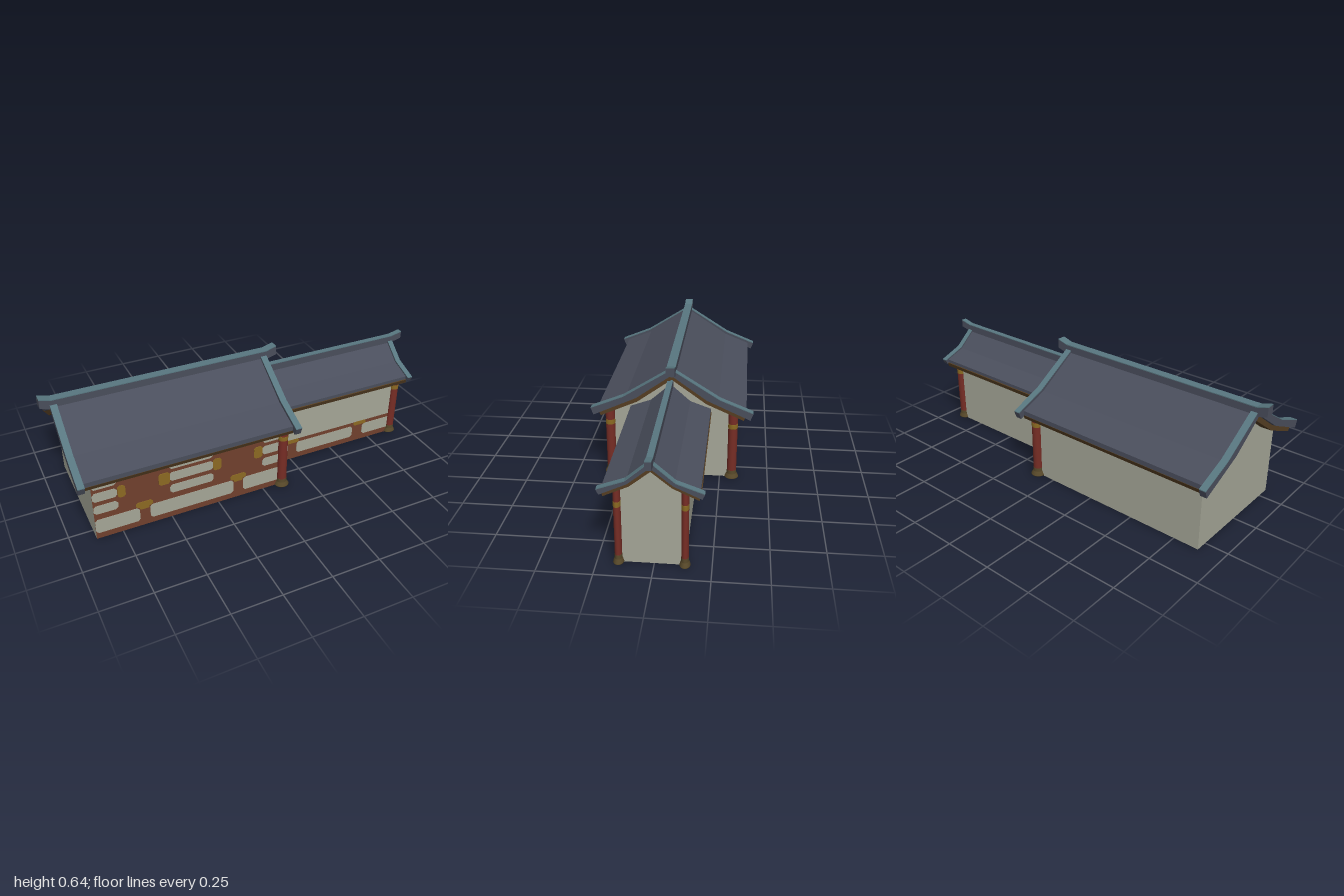
import * as THREE from 'three';

const mat = (name, color) => new THREE.MeshStandardMaterial({ name, color, side: THREE.DoubleSide });

export function createModel() {
  const M = {
    tile: mat('slate tile', 0x4a4e5c),
    trim: mat('ridge teal', 0x587780),
    timber: mat('eave timber', 0x553e22),
    plaster: mat('grey plaster', 0xa5a697),
    panel: mat('red brown timber', 0x71402d),
    gold: mat('gold ornament', 0x8c6a22),
    column: mat('column red', 0x772d25),
    base: mat('column foot bronze', 0x574829),
  };
  const model = new THREE.Group();
  model.name = 'courtyardHall';

  const add = (parent, name, geo, material) => {
    const mesh = new THREE.Mesh(geo, material);
    mesh.name = name;
    parent.add(mesh);
    return mesh;
  };
  const shapeOf = pts => new THREE.Shape(pts.map(p => new THREE.Vector2(...p)));
  // Extrude a [z, y] outline along x
  const alongX = (pts, x0, x1) =>
    new THREE.ExtrudeGeometry(shapeOf(pts.map(([z, y]) => [-z, y])), { depth: x1 - x0, bevelEnabled: false })
      .rotateY(Math.PI / 2).translate(x0, 0, 0);
  // Extrude an [x, y] outline along z, centred on z
  const alongZ = (pts, z, depth) =>
    new THREE.ExtrudeGeometry(shapeOf(pts), { depth, bevelEnabled: false }).translate(0, 0, z - depth / 2);
  // Both slopes of a roof layer, from half lines that run ridge to eave
  const gable = (upper, lower) => {
    const flip = line => line.map(([z, y]) => [-z, y]);
    return [...flip(upper).reverse(), ...upper.slice(1),
      ...[...lower].reverse(), ...flip(lower).slice(1)];
  };
  const raise = (line, d) => line.map(([a, y]) => [a, y + d]);

  // Roof: tile slab, timber under the overhangs, rakes and ridge
  function buildRoof(o) {
    const g = new THREE.Group();
    g.name = o.name;
    g.position.z = o.z;
    add(g, 'roofTiles', alongX(gable(o.tileTop, o.tileBottom), ...o.tileX), M.tile);
    for (const [a, b] of o.timberEnds) {
      add(g, 'gableTimber', alongX(gable(o.timberTop, o.timberBottom), a, b), M.timber);
    }
    const [t, b] = [o.timberTop[2], o.timberBottom[2]];
    const at = (line, z) => {
      const k = (z - line[1][0]) / (line[2][0] - line[1][0]);
      return [z, line[1][1] + k * (line[2][1] - line[1][1])];
    };
    for (const s of [1, -1]) {
      const pts = [at(o.timberTop, o.wallZ), t, b, at(o.timberBottom, o.wallZ)];
      add(g, 'eaveTimber', alongX(pts.map(([z, y]) => [s * z, y]), ...o.eaveX), M.timber);
    }
    for (const [a, c] of o.rakes) {
      add(g, 'rake', alongX(gable(o.rakeTop, o.rakeBottom), a, c), M.tile);
      add(g, 'rakeCap', alongX(gable(raise(o.rakeTop, 0.004), o.rakeTop), a, c), M.trim);
    }
    const low = raise(o.ridge, -o.ridgeHeight);
    add(g, 'ridge', alongZ([...o.ridge, ...low.reverse()], 0, o.ridgeWidth), M.tile);
    add(g, 'ridgeCap', alongZ([...raise(o.ridge, 0.004), ...[...o.ridge].reverse()], 0, o.ridgeWidth), M.trim);
    model.add(g);
  }

  buildRoof({
    name: 'mainRoof', z: 0, wallZ: 0.31,
    tileTop: [[0, 0.6], [0.235, 0.445], [0.377, 0.388]],
    tileBottom: [[0, 0.58], [0.18, 0.452], [0.377, 0.364]], tileX: [-0.94, 0.14],
    timberTop: [[0, 0.578], [0.178, 0.45], [0.375, 0.361]],
    timberBottom: [[0, 0.548], [0.175, 0.422], [0.365, 0.338]],
    timberEnds: [[-0.935, -0.87], [0.09, 0.135]], eaveX: [-0.87, 0.09],
    rakeTop: [[0, 0.608], [0.245, 0.454], [0.411, 0.387]],
    rakeBottom: [[0, 0.578], [0.178, 0.451], [0.398, 0.351]],
    rakes: [[-0.953, -0.92], [0.125, 0.158]],
    ridge: [[-1, 0.637], [-0.945, 0.621], [0.155, 0.621], [0.212, 0.637]],
    ridgeHeight: 0.045, ridgeWidth: 0.044,
  });
  buildRoof({
    name: 'wingRoof', z: 0.008, wallZ: 0.143,
    tileTop: [[0, 0.512], [0.1, 0.423], [0.205, 0.385]],
    tileBottom: [[0, 0.493], [0.095, 0.415], [0.205, 0.368]], tileX: [0.1, 0.93],
    timberTop: [[0, 0.493], [0.095, 0.414], [0.209, 0.366]],
    timberBottom: [[0, 0.466], [0.09, 0.393], [0.2, 0.342]],
    timberEnds: [[0.885, 0.925]], eaveX: [0.105, 0.885],
    rakeTop: [[0, 0.518], [0.104, 0.427], [0.224, 0.383]],
    rakeBottom: [[0, 0.493], [0.095, 0.415], [0.213, 0.36]],
    rakes: [[0.917, 0.945]],
    ridge: [[0.1, 0.536], [0.935, 0.536], [1, 0.55]],
    ridgeHeight: 0.037, ridgeWidth: 0.028,
  });

  // Walls: open underneath, thin sheets
  function buildWalls(name, x0, x1, zBack, zFront, gableLine, ends) {
    const g = new THREE.Group();
    g.name = name;
    const [w, h, cx] = [x1 - x0, 0.368, (x0 + x1) / 2];
    add(g, 'backWall', new THREE.PlaneGeometry(w, h).rotateY(Math.PI).translate(cx, h / 2, zBack), M.plaster);
    add(g, 'frontWall', new THREE.PlaneGeometry(w, h).translate(cx, h / 2, zFront), M.panel);
    const mid = (zFront + zBack) / 2, half = (zFront - zBack) / 2;
    const [kz, ky, top] = gableLine;
    const pts = [[half, 0], [half, h], [kz, ky], [0, top], [-kz, ky], [-half, h], [-half, 0]];
    for (const x of ends) {
      add(g, 'gableWall', new THREE.ShapeGeometry(shapeOf(pts)).rotateY(Math.PI / 2).translate(x, 0, mid), M.plaster);
    }
    model.add(g);
    return g;
  }
  // Painted panel with clipped corners: [left, right, bottom, top]
  const patch = (g, name, [l, r, b, t], z, c, depth, material) =>
    add(g, name, alongZ([[l + c, b], [r - c, b], [r, b + c], [r, t - c],
      [r - c, t], [l + c, t], [l, t - c], [l, b + c]], z, depth), material);

  const mainZ = 0.316, wingZ = 0.153;
  const hall = buildWalls('mainWalls', -0.88, 0.105, -0.31, mainZ, [0.175, 0.436, 0.562], [-0.88, 0.105]);
  const wing = buildWalls('wingWalls', 0.105, 0.895, -0.133, wingZ, [0.092, 0.403, 0.48], [0.895]);

  // Main front: three rows of short panels over one row of long ones
  for (const [b, t] of [[0.288, 0.338], [0.218, 0.268], [0.146, 0.194]]) {
    for (const [l, r] of [[-0.879, -0.76], [-0.502, -0.275], [-0.008, 0.104]]) {
      patch(hall, 'plasterPanel', [l, r, b, t], mainZ, 0.012, 0.004, M.plaster);
    }
  }
  for (const [l, r] of [[-0.879, -0.66], [-0.608, -0.168], [-0.115, 0.104]]) {
    patch(hall, 'lowerPanel', [l, r, 0.033, 0.112], mainZ, 0.012, 0.004, M.plaster);
  }
  for (const [l, r] of [[-0.758, -0.72], [-0.557, -0.5], [-0.277, -0.233], [-0.055, -0.008]]) {
    patch(hall, 'goldFitting', [l, r, 0.208, 0.275], mainZ, 0.01, 0.007, M.gold);
  }
  for (const x of [-0.635, -0.142]) {
    patch(hall, 'goldBracket', [x - 0.043, x + 0.043, 0.113, 0.143], mainZ, 0.01, 0.007, M.gold);
    patch(hall, 'goldBracketFoot', [x - 0.024, x + 0.024, 0.1, 0.12], mainZ, 0.005, 0.007, M.gold);
  }

  // Wing front: plain plaster above a row of panels
  patch(wing, 'upperPlaster', [0.106, 0.894, 0.125, 0.366], wingZ, 0, 0.004, M.plaster);
  for (const [l, r] of [[0.106, 0.232], [0.285, 0.64], [0.705, 0.894]]) {
    patch(wing, 'lowerPanel', [l, r, 0.033, 0.102], wingZ, 0.012, 0.004, M.plaster);
  }
  for (const x of [0.258, 0.686]) {
    patch(wing, 'goldBracket', [x - 0.04, x + 0.04, 0.103, 0.126], wingZ, 0.008, 0.007, M.gold);
  }

  // Columns with flared feet and gold collars
  const lathe = pts => new THREE.LatheGeometry(pts.map(p => new THREE.Vector2(...p)), 20);
  function column(x, z, rx, rz) {
    const g = new THREE.Group();
    g.name = 'column';
    add(g, 'columnShaft', lathe([[1, 0.04], [1, 0.375]]), M.column);
    add(g, 'columnCollar', lathe([[1, 0.284], [1.03, 0.285], [1.03, 0.309], [1, 0.31]]), M.gold);
    add(g, 'columnFoot', lathe([[0, 0.003], [1.5, 0.003], [1.5, 0.006], [1.1, 0.025], [1.04, 0.026], [1.03, 0.044], [1, 0.045]]), M.base);
    g.scale.set(rx, 1, rz);
    g.position.set(x, 0, z);
    model.add(g);
  }
  for (const z of [0.321, -0.312]) column(0.105, z, 0.025, 0.024);
  for (const z of [0.155, -0.133]) column(0.897, z, 0.022, 0.016);

  return model;
}
